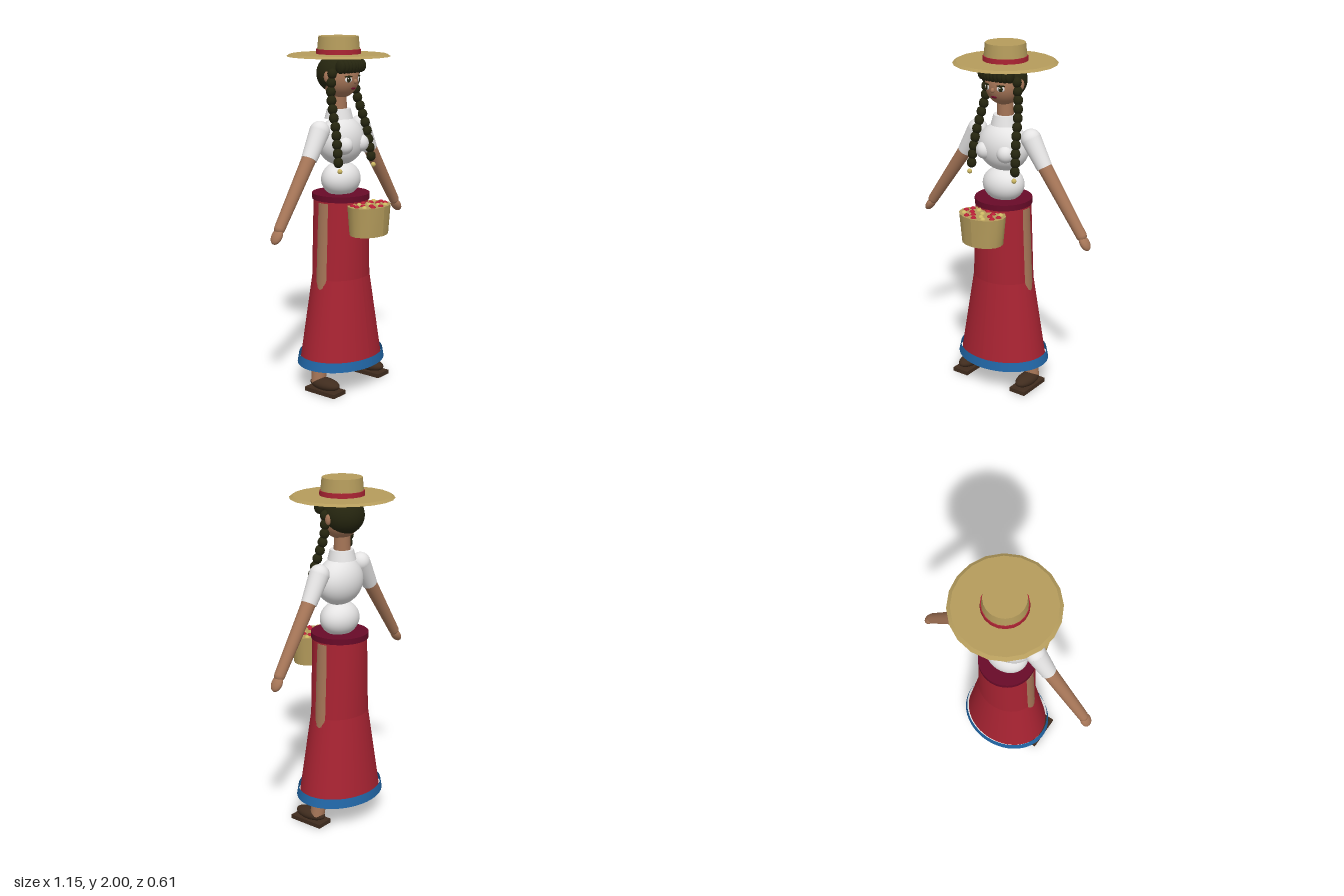
import * as THREE from 'three';

const mat = (name, color, side = THREE.FrontSide) => {
  const m = new THREE.MeshStandardMaterial({ color, side });
  m.name = name;
  return m;
};

export function createModel() {
  const white = mat('white cotton', 0xe4e3e3);
  const straw = mat('straw', 0xb59c5c);
  const red = mat('red cloth', 0xa82332, THREE.DoubleSide);
  const maroon = mat('maroon', 0x680a28);
  const blue = mat('blue trim', 0x2166a6, THREE.DoubleSide);
  const skin = mat('skin', 0xa57557);
  const hair = mat('dark hair', 0x25250f);
  const brown = mat('brown leather', 0x402c1e);
  const fruitRed = mat('fruit red', 0xb81f36);
  const gold = mat('gold', 0xcdb864);

  const model = new THREE.Group();
  const add = (name, geo, material, x = 0, y = 0, z = 0, parent = model) => {
    const m = new THREE.Mesh(geo, material);
    m.name = name;
    m.position.set(x, y, z);
    parent.add(m);
    return m;
  };
  const group = (name) => {
    const g = new THREE.Group();
    g.name = name;
    model.add(g);
    return g;
  };
  // Ellipsoid with radii [rx, ry, rz]
  const ball = (name, material, p, r, parent = model, seg = 24) => {
    const [rx, ry, rz] = Array.isArray(r) ? r : [r, r, r];
    const geo = new THREE.SphereGeometry(1, seg, Math.ceil(seg * 0.7)).scale(rx, ry, rz);
    return add(name, geo, material, ...p, parent);
  };
  // Round tapered limb from a (radius ra) to b (radius rb)
  const limb = (name, material, a, b, ra, rb, parent) => {
    const A = new THREE.Vector3(...a), B = new THREE.Vector3(...b);
    const dir = A.clone().sub(B);
    const m = add(name, new THREE.CylinderGeometry(ra, rb, dir.length(), 24), material, 0, 0, 0, parent);
    m.position.copy(A).add(B).multiplyScalar(0.5);
    m.quaternion.setFromUnitVectors(new THREE.Vector3(0, 1, 0), dir.normalize());
    return m;
  };
  // Tapered tube between two oval cross-sections [y, rx, rz]
  const ovalTube = (top, bottom, seg, open) => {
    const geo = new THREE.CylinderGeometry(1, 1, 1, seg, 1, open);
    const p = geo.attributes.position;
    for (let i = 0; i < p.count; i++) {
      const s = p.getY(i) > 0 ? top : bottom;
      p.setXYZ(i, p.getX(i) * s[1], s[0], p.getZ(i) * s[2]);
    }
    geo.computeVertexNormals();
    return geo;
  };

  // Hat
  const hat = group('hat');
  hat.position.z = -0.017;
  add('hatBrim', new THREE.CylinderGeometry(0.27, 0.289, 0.012, 20), straw, 0, 1.896, 0, hat);
  add('hatCrown', new THREE.CylinderGeometry(0.111, 0.121, 0.1, 20), straw, 0, 1.95, 0, hat);
  add('hatBand', new THREE.CylinderGeometry(0.123, 0.125, 0.026, 20), red, 0, 1.916, 0, hat);

  // Head, hair and face
  const head = group('head');
  ball('face', skin, [0, 1.775, -0.005], [0.104, 0.115, 0.106], head, 32);
  ball('hairCap', hair, [0, 1.795, -0.028], [0.115, 0.11, 0.115], head, 32);
  ball('nose', skin, [0, 1.757, 0.1], [0.011, 0.014, 0.014], head, 12);
  ball('mouth', maroon, [0, 1.717, 0.088], [0.02, 0.006, 0.005], head, 12);
  for (let i = 0; i < 9; i++) {
    const t = i / 4 - 1;
    ball('fringeLock', hair, [t * 0.092, 1.838, 0.092 - 0.022 * t * t], [0.019, 0.037, 0.033], head, 14);
  }
  for (const s of [-1, 1]) {
    ball('ear', skin, [s * 0.112, 1.782, -0.01], [0.014, 0.03, 0.018], head, 14);
    const eye = new THREE.Group();
    eye.name = 'eye';
    eye.position.set(s * 0.046, 1.768, 0.09);
    eye.rotation.y = s * 0.42;
    head.add(eye);
    ball('eyeWhite', white, [0, 0, 0], [0.022, 0.016, 0.004], eye, 16);
    ball('iris', hair, [0, 0, 0.002], [0.013, 0.015, 0.004], eye, 16);
    ball('eyeGlint', white, [-0.004, 0.006, 0.005], [0.004, 0.004, 0.002], eye, 8);
    ball('lash', hair, [0, 0.017, 0.001], [0.025, 0.005, 0.004], eye, 12);
  }
  limb('neck', skin, [0, 1.70, -0.017], [0, 1.57, -0.017], 0.045, 0.047, head);

  // Braids of overlapping beads with a gold tie
  for (const s of [-1, 1]) {
    const braid = group('braid');
    const path = new THREE.CatmullRomCurve3([
      [0.102, 1.80, 0.02], [0.11, 1.70, 0.018], [0.124, 1.60, 0.042],
      [0.135, 1.5, 0.072], [0.144, 1.4, 0.09], [0.148, 1.325, 0.1],
    ].map(([x, y, z]) => new THREE.Vector3(s * x, y, z)));
    for (let i = 0; i < 11; i++) {
      const p = path.getPointAt(i / 10);
      ball('braidBead', hair, p.toArray(), [0.027, 0.03, 0.027], braid, 14);
    }
    ball('braidTie', gold, [s * 0.152, 1.277, 0.114], 0.014, braid, 12);
  }

  // Blouse
  const blouse = group('blouse');
  ball('chest', white, [0, 1.422, 0], [0.156, 0.137, 0.115], blouse, 36);
  ball('midriff', white, [0, 1.205, 0], [0.125, 0.1, 0.103], blouse, 36);
  add('collar', new THREE.CylinderGeometry(0.066, 0.08, 0.056, 28), white, 0, 1.574, -0.015, blouse);
  for (const s of [-1, 1]) ball('bust', white, [s * 0.071, 1.407, 0.08], 0.05, blouse);

  // Arms, spread down and outward
  for (const s of [-1, 1]) {
    const arm = group('arm');
    arm.position.z = -0.004;
    ball('shoulder', white, [s * 0.182, 1.492, 0], 0.057, arm);
    limb('sleeve', white, [s * 0.182, 1.492, 0], [s * 0.272, 1.347, 0], 0.057, 0.044, arm);
    limb('forearm', skin, [s * 0.255, 1.375, 0], [s * 0.518, 1.005, 0], 0.041, 0.03, arm);
    ball('wrist', skin, [s * 0.518, 1.005, 0], 0.03, arm, 16);
    ball('hand', skin, [s * 0.54, 0.968, 0], [0.023, 0.047, 0.034], arm, 20).rotation.z = s * 0.6;
  }

  // Skirt, open underneath, with waistband and hem
  const skirt = group('skirt');
  add('waistband', new THREE.CylinderGeometry(0.163, 0.163, 0.033, 40), maroon, 0, 1.111, 0, skirt);
  const waist = [1.1, 0.16, 0.152], hip = [0.65, 0.182, 0.152], low = [0.165, 0.26, 0.213];
  add('upperSkirt', ovalTube(waist, hip, 48, true), red, 0, 0, 0, skirt);
  add('lowerSkirt', ovalTube(hip, low, 48, true), red, 0, 0, 0, skirt);
  add('hem', ovalTube([0.194, 0.268, 0.224], [0.14, 0.28, 0.231], 48, true), blue, 0, 0, 0, skirt);

  // Legs and sandals
  for (const s of [-1, 1]) {
    const leg = group('leg');
    limb('thigh', skin, [s * 0.09, 1.08, 0], [s * 0.135, 0.5, 0], 0.075, 0.061, leg);
    ball('knee', skin, [s * 0.135, 0.5, 0], 0.061, leg);
    limb('shin', skin, [s * 0.135, 0.5, 0], [s * 0.208, 0.05, 0], 0.061, 0.041, leg);
    ball('shoe', brown, [s * 0.208, 0.052, 0.05], [0.05, 0.036, 0.1], leg);
    add('sole', new THREE.BoxGeometry(0.103, 0.024, 0.213), brown, s * 0.207, 0.012, 0.05, leg);
  }

  // Fruit basket held in front
  const basket = group('fruitBasket');
  basket.position.z = 0.2;
  add('basketBody', ovalTube([1.08, 0.142, 0.106], [0.914, 0.125, 0.097], 16, false), straw, 0, 0, 0, basket);
  [[12, 0.85], [7, 0.5], [1, 0]].forEach(([n, r], ring) => {
    for (let i = 0; i < n; i++) {
      const a = (i / n) * Math.PI * 2 + ring * 0.3;
      ball('fruit', (i + ring) % 3 === 2 ? gold : fruitRed,
        [Math.cos(a) * r * 0.13, 1.075, Math.sin(a) * r * 0.095], 0.017, basket, 12);
    }
  });

  return model;
}
